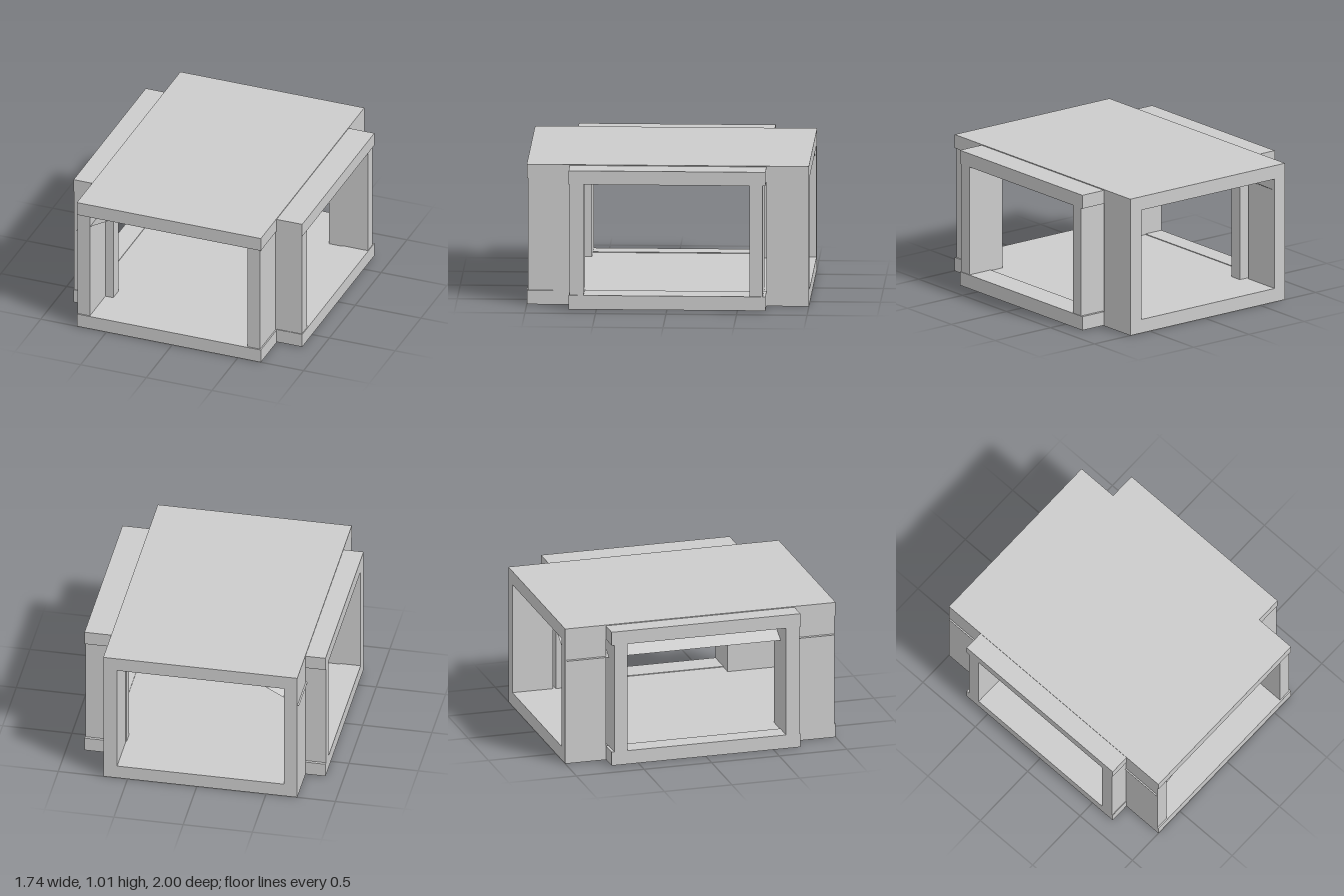
import * as THREE from 'three';

export function createModel() {
  const model = new THREE.Group();
  const material = new THREE.MeshStandardMaterial({ color: 0xcccccc, flatShading: true });

  // Box given by its lower and upper limits on each axis
  function block(name, [x0, x1], [y0, y1], [z0, z1]) {
    const mesh = new THREE.Mesh(new THREE.BoxGeometry(x1 - x0, y1 - y0, z1 - z0), material);
    mesh.position.set((x0 + x1) / 2, (y0 + y1) / 2, (z0 + z1) / 2);
    mesh.name = name;
    model.add(mesh);
  }

  // Cross-shaped floor and roof: a long centre slab with an arm on each side
  block('floorSlab', [-0.725, 0.675], [0, 0.1], [-1, 1]);
  block('roofSlab', [-0.725, 0.675], [0.91, 1.01], [-1, 1]);
  for (const [side, inner, outer] of [['right', -0.87, -0.725], ['left', 0.675, 0.87]]) {
    block(side + 'FloorArm', [inner, outer], [0.004, 0.105], [-0.7, 0.695]);
    block(side + 'RoofArm', [inner, outer], [0.905, 1.004], [-0.7, 0.695]);
  }

  // Walls folded around the four notched corners
  const height = [0.1, 0.91];
  block('frontLeftEndWall', [0.57, 0.665], height, [0.69, 0.99]);
  block('frontRightEndWall', [-0.725, -0.63], height, [0.69, 0.99]);
  block('backLeftEndWall', [0.575, 0.675], height, [-1, -0.7]);
  block('backRightEndWall', [-0.725, -0.63], height, [-1, -0.7]);
  for (const [end, z] of [['front', [0.59, 0.69]], ['back', [-0.68, -0.585]]]) {
    block(end + 'LeftSideWall', [0.57, 0.865], height, z);
    block(end + 'RightSideWall', [-0.87, -0.57], height, z);
  }

  // Thin sloping sheet under the roof, running along the right-hand side
  const top = new THREE.Vector2(-0.477, 0.91);
  const bottom = new THREE.Vector2(-0.735, 0.77);
  const sheet = new THREE.Mesh(
    new THREE.PlaneGeometry(top.distanceTo(bottom), 1.98).rotateX(-Math.PI / 2),
    new THREE.MeshStandardMaterial({ color: 0xcccccc, side: THREE.DoubleSide })
  );
  sheet.rotation.z = Math.atan2(top.y - bottom.y, top.x - bottom.x);
  sheet.position.set((top.x + bottom.x) / 2, (top.y + bottom.y) / 2, 0);
  sheet.name = 'slopingSheet';
  model.add(sheet);

  return model;
}
